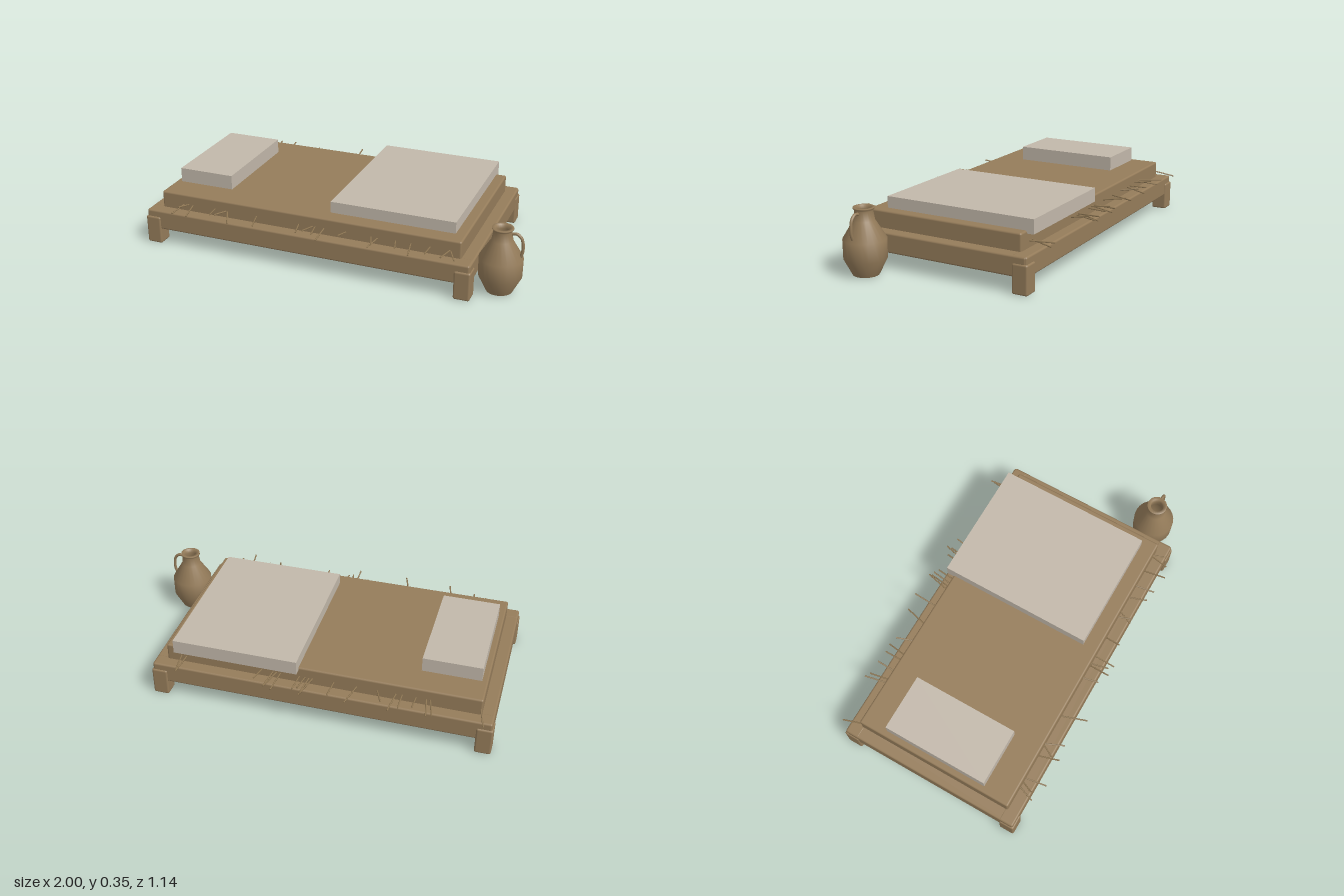
import * as THREE from 'three';
import { RoundedBoxGeometry } from 'three/addons/geometries/RoundedBoxGeometry.js';

const material = (name, color, side = THREE.FrontSide) =>
  Object.assign(new THREE.MeshStandardMaterial({ color, side }), { name });

export function createModel() {
  const model = new THREE.Group();
  model.name = 'strawBed';
  const brown = material('brown', 0x957c5a);
  const clay = material('clay', 0x957c5a, THREE.DoubleSide);
  const linen = material('linen', 0xc2b8aa);
  const strawBrown = material('strawBrown', 0x927a56);

  const add = (name, geometry, mat, parent = model) => {
    const mesh = new THREE.Mesh(geometry, mat);
    mesh.name = name;
    parent.add(mesh);
    return mesh;
  };
  // Box given by its limits; radius 0 keeps the edges sharp
  const block = (name, x0, x1, y0, y1, z0, z1, mat, radius = 0) => {
    const size = [x1 - x0, y1 - y0, z1 - z0];
    const geometry = radius
      ? new RoundedBoxGeometry(...size, 2, radius)
      : new THREE.BoxGeometry(...size);
    const mesh = add(name, geometry, mat);
    mesh.position.set((x0 + x1) / 2, (y0 + y1) / 2, (z0 + z1) / 2);
  };

  // Bed frame: four rails and four legs
  for (const s of [-1, 1]) {
    const z = s * 0.46;
    block('longRail', -0.992, 0.778, 0.083, 0.188, z - 0.04, z + 0.04, brown, 0.01);
    const x = s < 0 ? -0.955 : 0.742;
    block('endRail', x - 0.038, x + 0.038, 0.083, 0.187, -0.495, 0.495, brown, 0.01);
    for (const t of [-1, 1]) {
      const lx = s < 0 ? -0.957 : 0.743;
      block('leg', lx - 0.042, lx + 0.042, 0, 0.152, t * 0.465 - 0.042, t * 0.465 + 0.042, brown, 0.01);
    }
  }
  block('basePanel', -0.95, 0.735, 0.135, 0.18, -0.45, 0.45, brown);

  // Mattress, pillow and folded blanket
  block('mattress', -0.93, 0.718, 0.178, 0.277, -0.438, 0.438, brown, 0.01);
  block('pillow', -0.899, -0.595, 0.27, 0.354, -0.288, 0.285, linen);
  block('blanket', 0.005, 0.664, 0.263, 0.337, -0.475, 0.357, linen);

  // Straws poking out of the mattress sides: root x, tip x, tip z
  const straws = new THREE.Group();
  straws.name = 'straws';
  model.add(straws);
  const back = [
    [-0.92, -0.95, 0.54], [-0.67, -0.7, 0.56], [-0.65, -0.67, 0.55], [-0.6, -0.6, 0.54],
    [-0.53, -0.53, 0.54], [-0.5, -0.48, 0.55], [-0.4, -0.44, 0.53], [-0.3, -0.265, 0.565],
    [-0.18, -0.18, 0.57], [-0.07, -0.04, 0.57], [-0.05, -0.03, 0.56], [-0.03, -0.02, 0.55],
    [0, 0.01, 0.54], [0.1, 0.12, 0.55], [0.12, 0.15, 0.57], [0.14, 0.16, 0.55],
    [0.2, 0.21, 0.54], [0.64, 0.62, 0.565], [0.61, 0.63, 0.55],
  ];
  const front = [
    [-0.8, -0.83, 0.52], [-0.77, -0.8, 0.5], [-0.75, -0.73, 0.55], [-0.62, -0.59, 0.545],
    [-0.55, -0.59, 0.5], [-0.55, -0.5, 0.53], [-0.38, -0.335, 0.57], [-0.14, -0.12, 0.52],
    [-0.06, -0.07, 0.55], [-0.05, -0.03, 0.53], [0, 0, 0.55], [0.12, 0.11, 0.52],
    [0.25, 0.28, 0.51], [0.29, 0.26, 0.51], [0.38, 0.41, 0.53], [0.46, 0.48, 0.54],
    [0.56, 0.57, 0.555], [0.66, 0.64, 0.53], [0.66, 0.7, 0.5],
  ];
  const up = new THREE.Vector3(0, 1, 0);
  [[back, -1], [front, 1]].forEach(([list, side]) => list.forEach(([x0, x1, z1], i) => {
    const tipY = 0.198 + 0.054 * ((i * 0.618) % 1);
    const root = new THREE.Vector3(x0, 0.222, side * 0.43);
    const tip = new THREE.Vector3(x1, tipY, side * z1);
    const along = tip.clone().sub(root);
    const straw = add('straw', new THREE.CylinderGeometry(0.004, 0.004, along.length(), 5), strawBrown, straws);
    straw.position.copy(root).add(tip).multiplyScalar(0.5);
    straw.quaternion.setFromUnitVectors(up, along.normalize());
  }));

  // Clay jug: hollow turned body with a strap handle
  const jug = new THREE.Group();
  jug.name = 'jug';
  jug.position.set(0.889, 0, 0.332);
  model.add(jug);
  const profile = [
    [0, 0.001], [0.066, 0.001], [0.066, 0.001], [0.108, 0.085], [0.109, 0.182],
    [0.053, 0.275], [0.045, 0.325], [0.053, 0.334], [0.053, 0.341], [0.036, 0.341],
    [0.033, 0.32], [0.036, 0.28], [0.07, 0.22], [0.085, 0.1], [0.05, 0.02], [0, 0.02],
  ].map(([r, y]) => new THREE.Vector2(r, y));
  add('jugBody', new THREE.LatheGeometry(profile, 24), clay, jug);
  const handlePath = new THREE.CatmullRomCurve3([
    [0.04, 0.312], [0.07, 0.317], [0.094, 0.296], [0.103, 0.258], [0.101, 0.22], [0.09, 0.19],
  ].map(([x, y]) => new THREE.Vector3(x, y, 0)));
  add('jugHandle', new THREE.TubeGeometry(handlePath, 20, 0.008, 8), clay, jug);

  return model;
}
